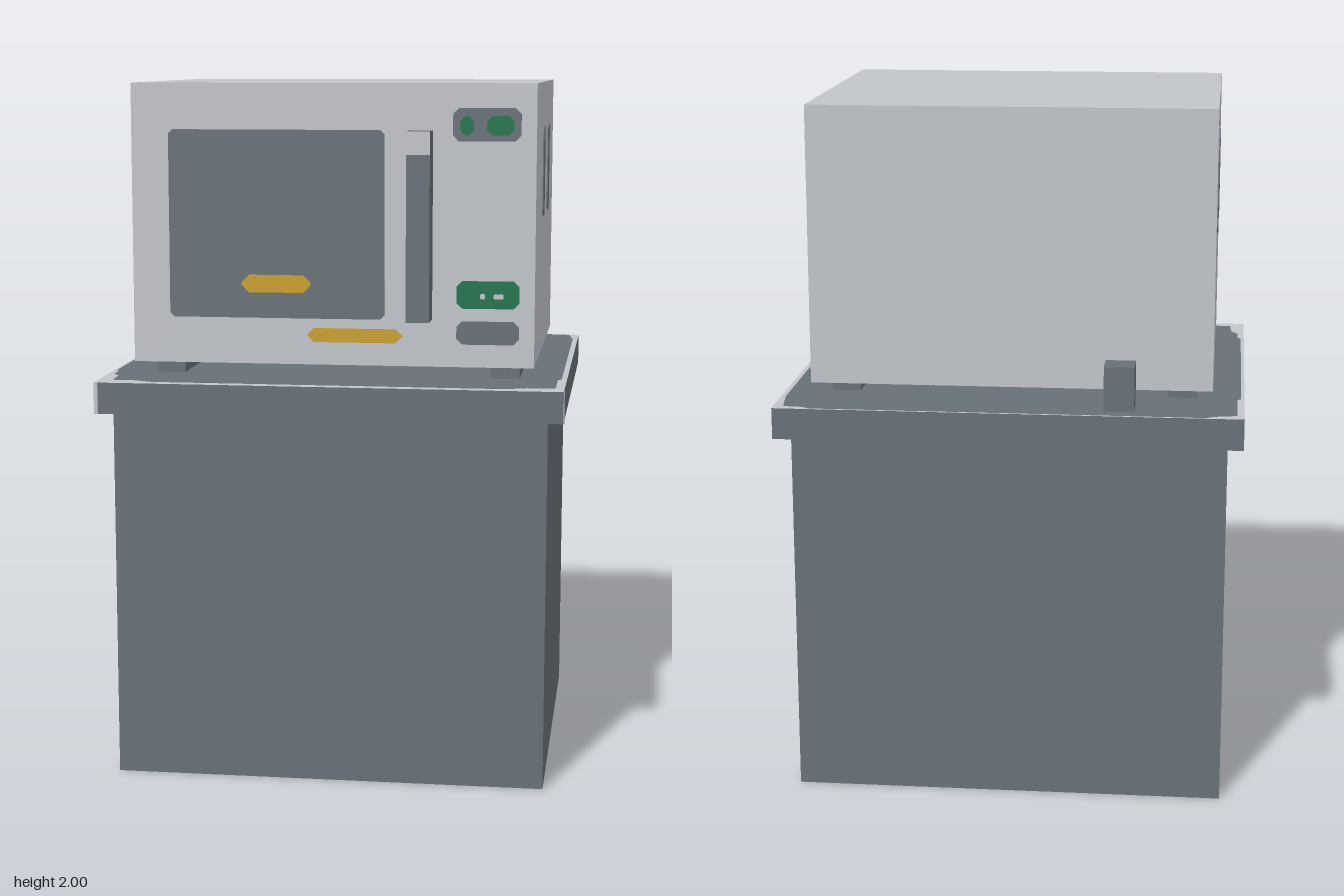
import * as THREE from 'three';

const mat = (name, color) => {
  const m = new THREE.MeshStandardMaterial({ color });
  m.name = name;
  return m;
};

export function createModel() {
  const model = new THREE.Group();
  model.name = 'microwaveOnCabinet';
  const light = mat('lightGrey', 0xc1c4c9);
  const dark = mat('darkGrey', 0x687078);
  const gold = mat('gold', 0xc9a02c);
  const green = mat('green', 0x20744f);

  const add = (name, geometry, material) => {
    const mesh = new THREE.Mesh(geometry, material);
    mesh.name = name;
    model.add(mesh);
    return mesh;
  };

  // Box given by its limits on each axis
  const box = (name, [x0, x1], [y0, y1], [z0, z1], material) => {
    const g = new THREE.BoxGeometry(x1 - x0, y1 - y0, z1 - z0);
    g.translate((x0 + x1) / 2, (y0 + y1) / 2, (z0 + z1) / 2);
    return add(name, g, material);
  };

  // Thin plate with cut corners, centred on its own origin and facing +z
  const plate = (w, h, c, depth = 0.003) => {
    const a = w / 2, b = h / 2;
    const s = new THREE.Shape([
      [-a + c, -b], [a - c, -b], [a, -b + c], [a, b - c],
      [a - c, b], [-a + c, b], [-a, b - c], [-a, -b + c],
    ].map(([x, y]) => new THREE.Vector2(x, y)));
    return new THREE.ExtrudeGeometry(s, { depth, bevelEnabled: false });
  };

  // Cabinet and worktop; the worktop has a pale upper face
  box('cabinet', [-0.62, 0.62], [0, 1.07], [-0.575, 0.575], dark);
  box('worktop', [-0.665, 0.665], [1.07, 1.16], [-0.62, 0.62],
    [dark, dark, light, dark, dark, dark]);

  // Worn dark area on the worktop, leaving pale corners
  const worn = new THREE.Shape([
    [-0.56, -0.62], [0.56, -0.62], [0.58, -0.605], [0.635, -0.6], [0.65, -0.49],
    [0.65, 0.4], [0.64, 0.41], [0.64, 0.57], [0.56, 0.575], [0.5, 0.6],
    [-0.5, 0.6], [-0.56, 0.575], [-0.62, 0.575], [-0.625, 0.49], [-0.645, 0.46],
    [-0.645, 0.4], [-0.655, 0.39], [-0.655, -0.4], [-0.645, -0.41],
    [-0.645, -0.59], [-0.58, -0.605],
  ].map(([x, z]) => new THREE.Vector2(x, -z)));
  add('worktopSurface', new THREE.ShapeGeometry(worn).rotateX(-Math.PI / 2), dark)
    .position.y = 1.162;

  // Pale edge strips at the worktop ends
  box('worktopFrontStrip', [-0.665, -0.654], [1.07, 1.16], [0.62, 0.622], light);
  box('worktopSideStrip', [0.665, 0.667], [1.07, 1.16], [0.608, 0.62], light);

  // Oven body, foot rails and rear plug
  box('ovenBody', [-0.575, 0.575], [1.205, 2], [-0.49, 0.49], light);
  for (const s of [-1, 1]) {
    const x = s * 0.488;
    box('footRail', [x - 0.042, x + 0.042], [1.16, 1.205], [-0.4, 0.4], dark);
  }
  box('rearPlug', [-0.357, -0.271], [1.16, 1.29], [-0.577, -0.49], dark);

  // Door handle with a pale front tip
  box('handle', [0.22, 0.286], [1.34, 1.805], [0.49, 0.577], dark);
  box('handleTip', [0.22, 0.286], [1.805, 1.87], [0.49, 0.577],
    [dark, dark, dark, dark, light, dark]);

  // Front panel details: name, x limits, y limits, corner cut, material, layer
  const details = [
    ['doorWindow', -0.468, 0.15, 1.337, 1.87, 0.012, dark, 0],
    ['windowMark', -0.26, -0.06, 1.41, 1.46, 0.022, gold, 1],
    ['doorMark', -0.07, 0.2, 1.27, 1.31, 0.018, gold, 0],
    ['display', 0.342, 0.532, 1.84, 1.932, 0.016, dark, 0],
    ['displayDigit', 0.362, 0.4, 1.857, 1.91, 0.014, green, 1],
    ['displayDigit', 0.437, 0.512, 1.857, 1.91, 0.014, green, 1],
    ['startButton', 0.355, 0.532, 1.372, 1.45, 0.016, green, 0],
    ['buttonMark', 0.422, 0.435, 1.4, 1.414, 0.002, light, 1],
    ['buttonMark', 0.46, 0.487, 1.4, 1.414, 0.002, light, 1],
    ['openButton', 0.355, 0.532, 1.27, 1.336, 0.016, dark, 0],
  ];
  for (const [name, x0, x1, y0, y1, cut, material, layer] of details) {
    add(name, plate(x1 - x0, y1 - y0, cut), material)
      .position.set((x0 + x1) / 2, (y0 + y1) / 2, 0.49 + layer * 0.003);
  }

  // Two vents on each side
  for (const s of [-1, 1]) {
    for (const z of [0.093, -0.176]) {
      const vent = add('sideVent', plate(0.084, 0.264, 0.02), dark);
      vent.rotation.y = s * Math.PI / 2;
      vent.position.set(s * 0.575, 1.74, z);
    }
  }
  return model;
}
